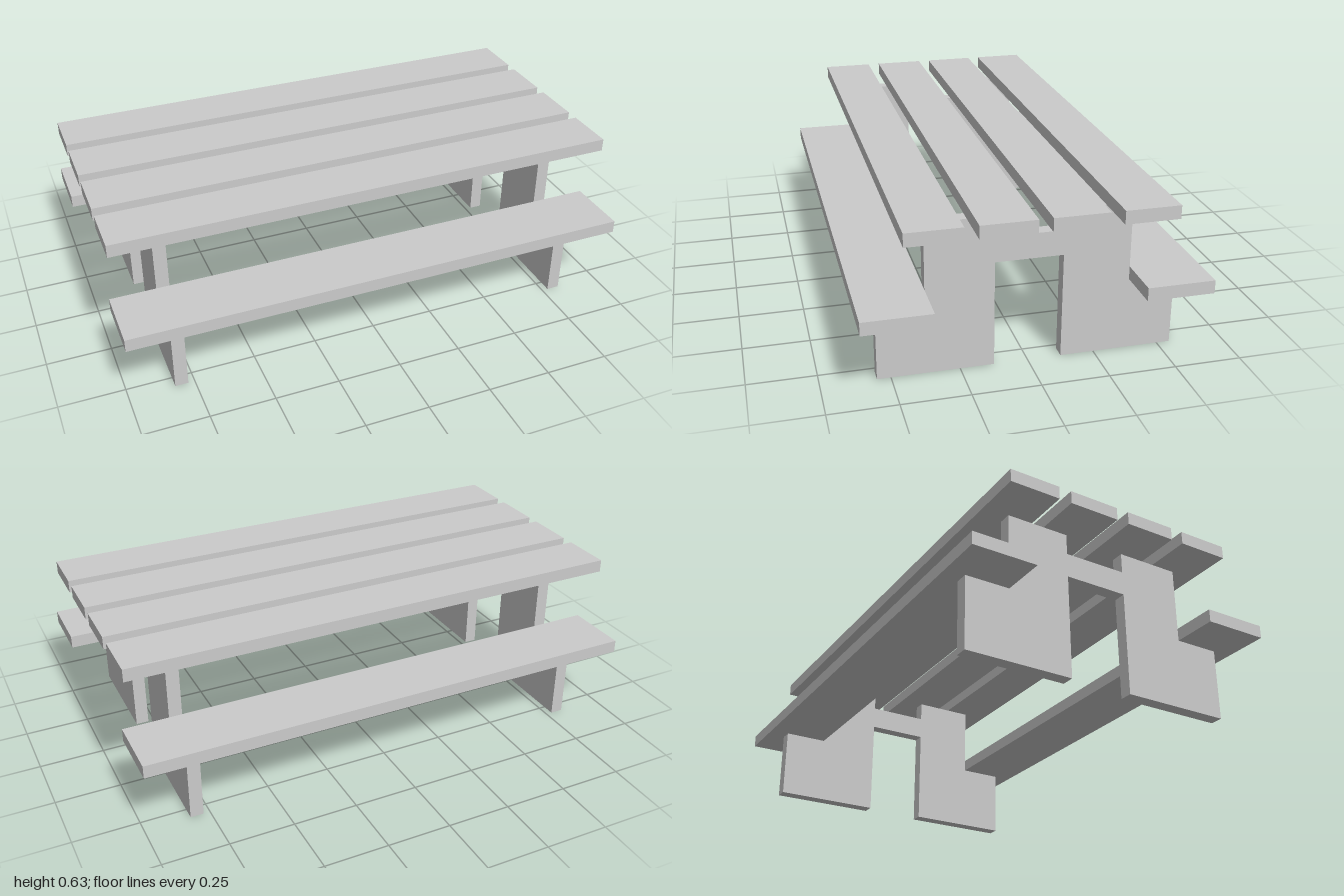
import * as THREE from 'three';

export function createModel() {
  const model = new THREE.Group();
  model.name = 'picnicTable';
  const material = new THREE.MeshStandardMaterial({ color: 0xcccccc, flatShading: true });

  function addMesh(name, geometry, x, y, z) {
    const mesh = new THREE.Mesh(geometry, material);
    mesh.name = name;
    mesh.position.set(x, y, z);
    model.add(mesh);
  }

  // Full-length boards: four for the top, one for each bench
  const thickness = 0.05;
  for (const z of [-0.375, -0.125, 0.125, 0.375]) {
    addMesh('tabletopPlank', new THREE.BoxGeometry(2, thickness, 0.2), 0, 0.605, z);
  }
  for (const z of [-0.5, 0.5]) {
    addMesh('benchSeat', new THREE.BoxGeometry(2, thickness, 0.25), 0, 0.305, z);
  }

  // End frame outline: a stepped leg on one side, mirrored, joined by a crossbar
  const half = [
    [0.125, 0.405], [0.125, 0], [0.55, 0], [0.55, 0.28],
    [0.375, 0.28], [0.375, 0.58], [0.125, 0.58], [0.125, 0.5],
  ];
  const mirrored = half.map(([z, y]) => [-z, y]).reverse();
  const outline = [...half, ...mirrored].map(([z, y]) => new THREE.Vector2(z, y));
  const frame = new THREE.ExtrudeGeometry(new THREE.Shape(outline), { depth: thickness, bevelEnabled: false });
  frame.translate(0, 0, -thickness / 2);
  frame.rotateY(Math.PI / 2);
  addMesh('rightEndFrame', frame, -0.8, 0, 0);
  addMesh('leftEndFrame', frame, 0.8, 0, 0);

  return model;
}
